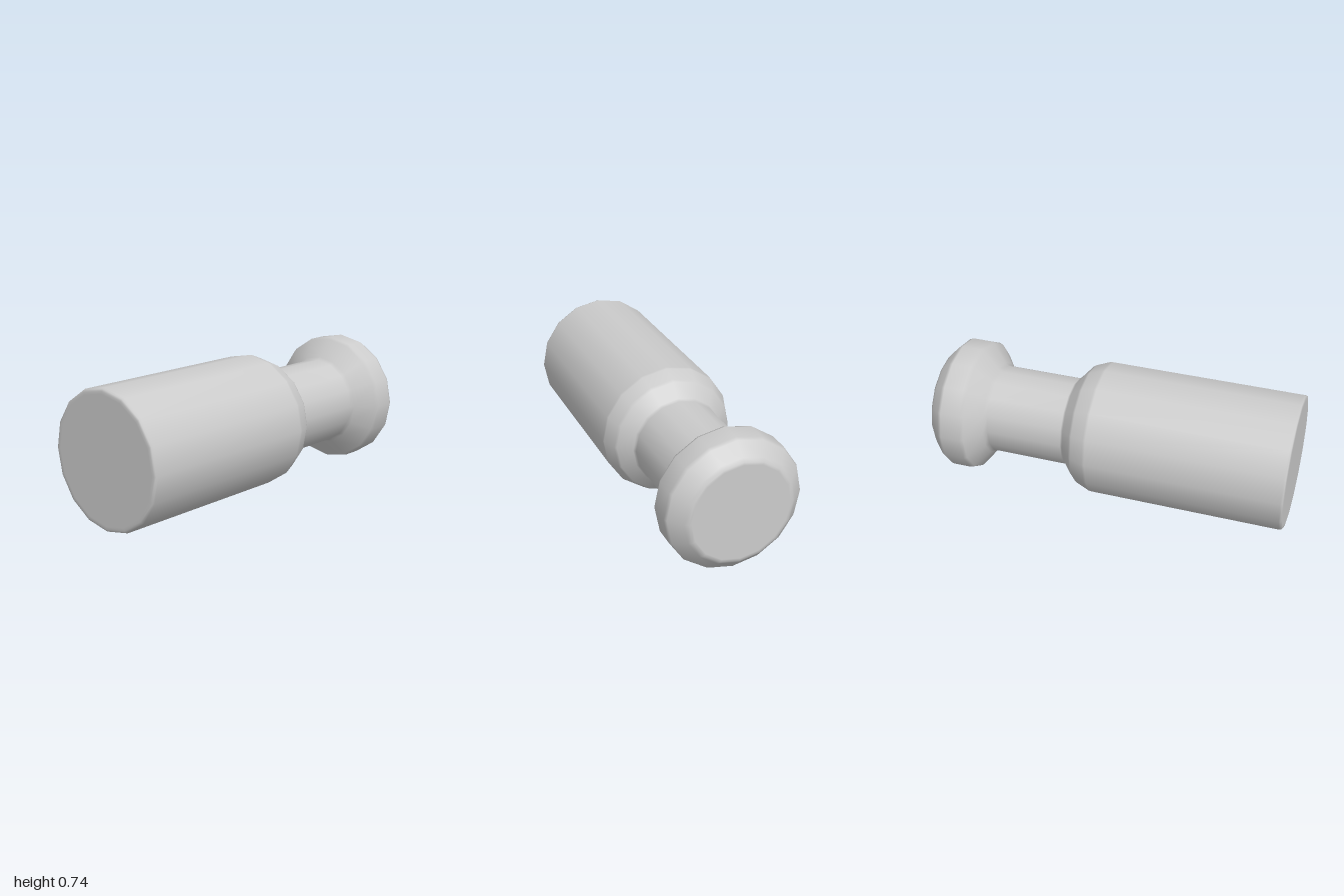
import * as THREE from 'three';

export function createModel() {
  const group = new THREE.Group();
  group.name = 'grooved pin';
  const R = 0.37, NECK = 0.247;

  // Turned profile as [z, radius], from the back of the head to the front of the shank
  const profile = [
    // head: flat end, chamfer, rim, cone down to the neck
    [-1, 0], [-1, 0.265], [-1, 0.28], [-0.985, 0.298],
    [-0.925, 0.361], [-0.905, R], [-0.795, R], [-0.775, 0.361],
    // neck
    [-0.7, 0.262], [-0.68, NECK], [-0.25, NECK], [-0.235, 0.258],
    // shoulder and shank
    [-0.175, 0.328], [-0.16, 0.338], [-0.085, 0.368], [-0.07, R],
    [0.985, R], [0.996, 0.366], [1, 0.355], [1, 0.34], [1, 0],
  ].map(([z, r]) => new THREE.Vector2(r, z));

  // 16-sided turning, laid along z with its lowest edge on the ground
  const geometry = new THREE.LatheGeometry(profile, 16);
  geometry.rotateX(Math.PI / 2);
  geometry.translate(0, R, 0);

  const pin = new THREE.Mesh(geometry, new THREE.MeshStandardMaterial({ color: 0xcccccc }));
  pin.name = 'turnedPin';
  group.add(pin);
  return group;
}
